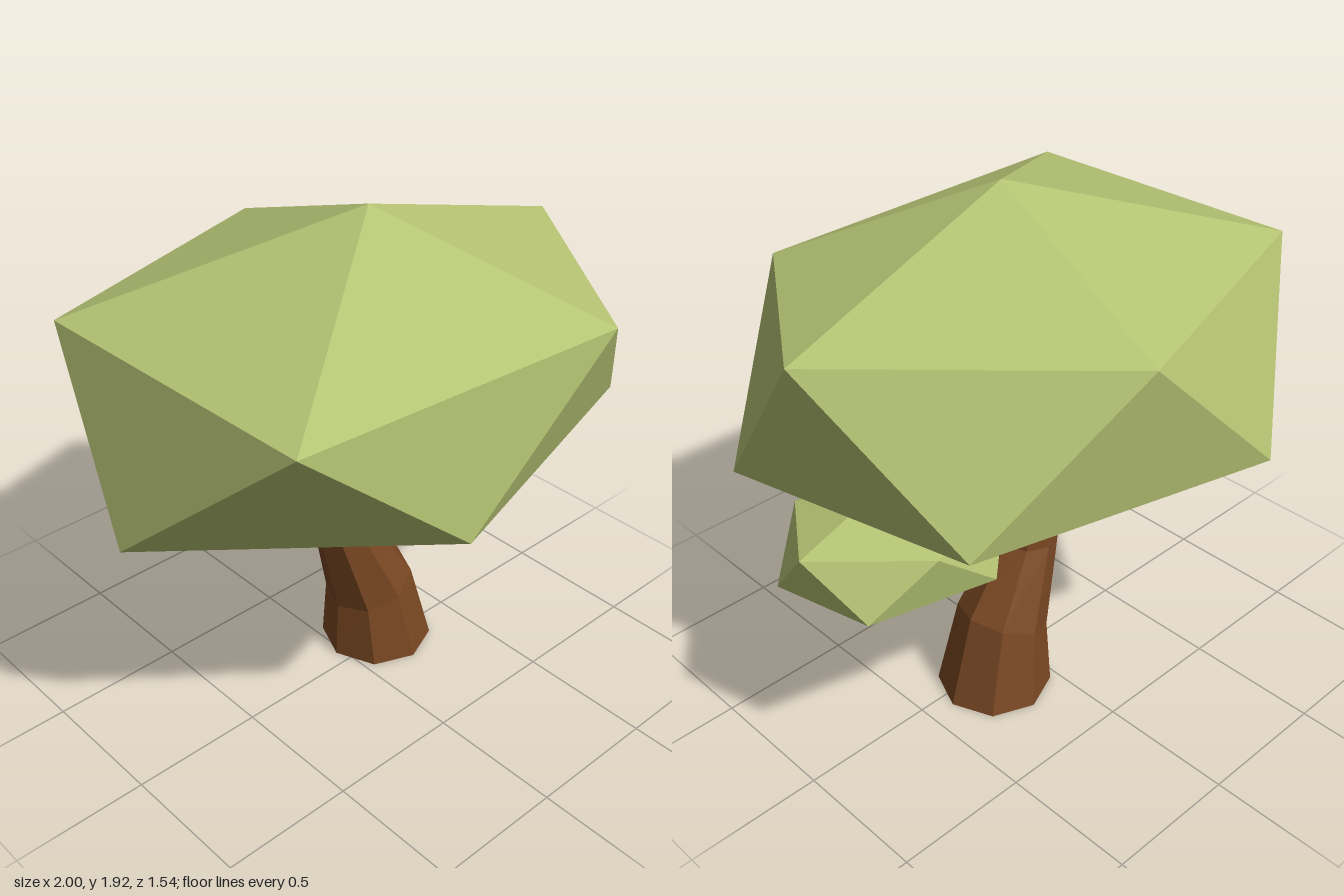
import * as THREE from 'three';

// Flat-shaded geometry from points and triangle indices
function faceted(points, faces) {
  const g = new THREE.BufferGeometry();
  g.setAttribute('position', new THREE.Float32BufferAttribute(points.flat(), 3));
  g.setIndex(faces.flat());
  const flat = g.toNonIndexed();
  flat.computeVertexNormals();
  return flat;
}

// Limb through rings [x, y, radius, tilt]; tilt turns the ring about z
function limb(rings, sides, z) {
  const points = [], faces = [];
  for (const [x, y, r, tilt] of rings) {
    for (let j = 0; j < sides; j++) {
      const a = (j / sides) * Math.PI * 2, c = r * Math.cos(a);
      points.push([x + c * Math.cos(tilt), y + c * Math.sin(tilt), z + r * Math.sin(a)]);
    }
  }
  const last = (rings.length - 1) * sides;
  for (let j = 0; j < sides; j++) {
    const k = (j + 1) % sides;
    for (let i = 0; i < last; i += sides) {
      faces.push([i + j, i + sides + j, i + k], [i + k, i + sides + j, i + sides + k]);
    }
    if (j > 0 && j < sides - 1) {
      faces.push([0, j, k], [last, last + k, last + j]); // end caps
    }
  }
  return faceted(points, faces);
}

// Irregular twenty-sided leaf mass: top, upper ring, lower ring, bottom
function leafMass() {
  const points = [
    [-0.01, 1.92, 0.09],
    [-0.84, 1.615, 0.70], [0.44, 1.58, 0.76], [0.93, 1.625, 0.02], [0.14, 1.61, -0.73], [-0.88, 1.625, -0.41],
    [-0.21, 1.07, 0.77], [0.90, 1.05, 0.43], [0.70, 1.075, -0.51], [-0.43, 1.05, -0.77], [-1.0, 1.03, -0.03],
    [0.02, 0.885, -0.10],
  ];
  points[10][2] = 0.03;
  const faces = [];
  for (let i = 0; i < 5; i++) {
    const n = (i + 1) % 5;
    const up = 1 + i, upNext = 1 + n, low = 6 + i, lowNext = 6 + n;
    faces.push([0, up, upNext], [up, low, upNext], [low, lowNext, upNext], [11, lowNext, low]);
  }
  return faceted(points, faces);
}

export function createModel() {
  const leaves = new THREE.MeshStandardMaterial({ color: 0xb4c272 });
  leaves.name = 'leafGreen';
  leaves.flatShading = true;
  const bark = new THREE.MeshStandardMaterial({ color: 0x7a4823 });
  bark.name = 'barkBrown';
  bark.flatShading = true;

  const tree = new THREE.Group();
  tree.name = 'tree';
  const add = (name, geometry, material) => {
    const mesh = new THREE.Mesh(geometry, material);
    mesh.name = name;
    tree.add(mesh);
    return mesh;
  };

  // Leaning trunk with a kink, eight sides
  add('trunk', limb([
    [0.185, 0, 0.213, 0],
    [0.14, 0.29, 0.17, 0.36],
    [0.012, 0.59, 0.112, 0.05],
    [0.0, 0.95, 0.102, 0],
  ], 8, -0.057), bark);

  // Side branch curving up to the small leaf mass
  add('branch', limb([
    [0.04, 0.655, 0.08, -1.57],
    [0.12, 0.66, 0.073, -1.55],
    [0.29, 0.682, 0.053, -1.35],
    [0.45, 0.76, 0.044, -0.95],
    [0.54, 0.86, 0.04, -0.75],
  ], 6, -0.057), bark);

  // Main canopy and its smaller copy
  const foliage = leafMass();
  add('canopy', foliage, leaves);
  const small = add('smallCanopy', foliage, leaves);
  small.scale.set(0.4, 0.342, 0.39);
  small.position.set(0.628, 0.444, -0.065);

  return tree;
}
